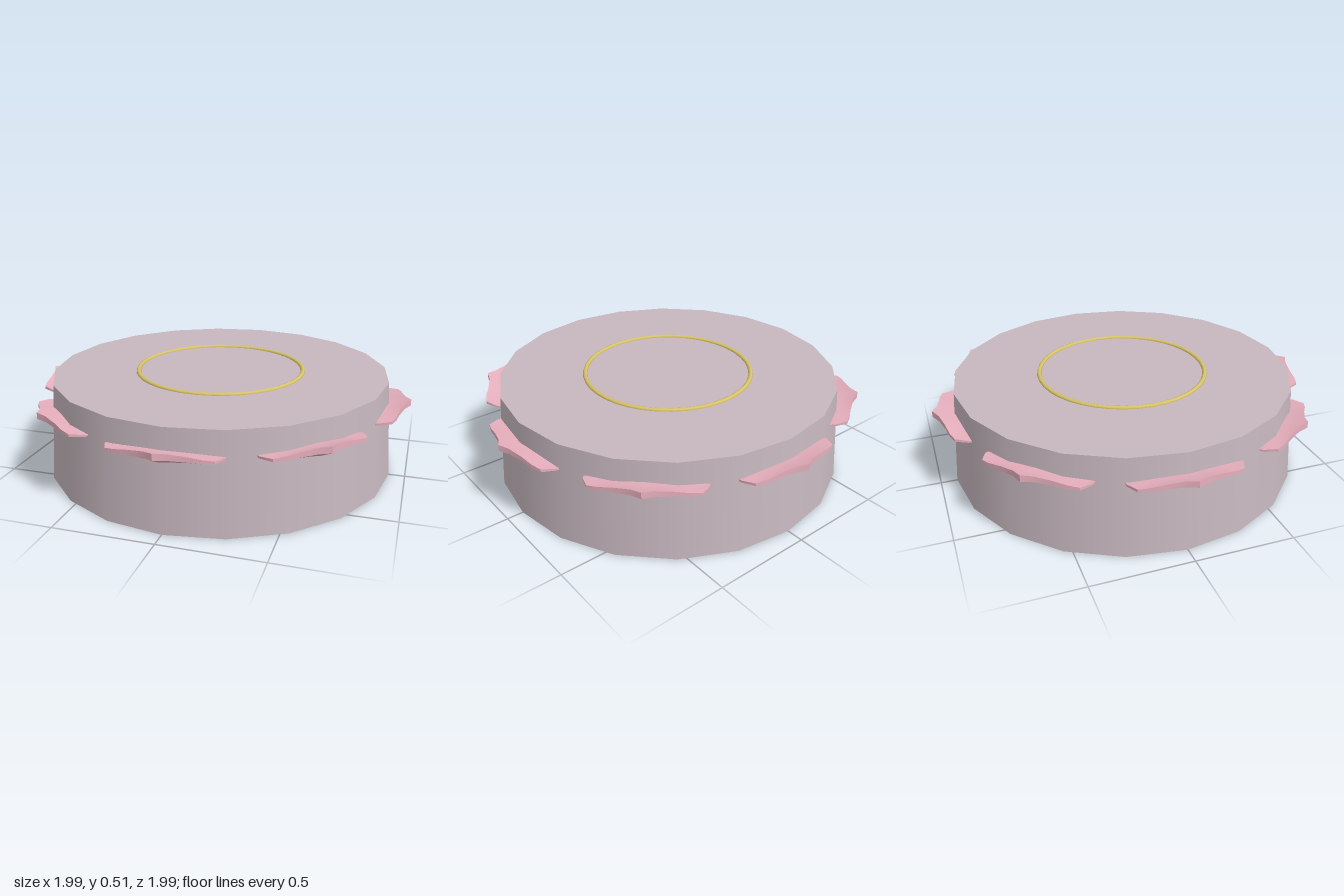
import * as THREE from 'three';
import { toCreasedNormals } from 'three/addons/utils/BufferGeometryUtils.js';

const mat = (name, color) => {
  const m = new THREE.MeshStandardMaterial({ color });
  m.name = name;
  return m;
};

// Curled petal: six-sided cross-sections lofted along x, pointing out to +z.
function petalGeometry() {
  // half stations: x, outer z, outer top y, outer bottom y, mid top y, mid bottom y
  const half = [
    [0, 0.995, 0.425, 0.392, 0.397, 0.35],
    [0.05, 0.968, 0.418, 0.388, 0.395, 0.351],
    [0.13, 0.948, 0.407, 0.382, 0.391, 0.354],
    [0.2, 0.937, 0.397, 0.378, 0.387, 0.361],
    [0.25, 0.92, 0.39, 0.376, 0.385, 0.369],
    [0.278, 0.86, 0.384, 0.374, 0.383, 0.373],
  ];
  const stations = [
    ...half.slice(1).reverse().map(([x, ...rest]) => [-x, ...rest]),
    ...half,
  ];
  const pos = [];
  const idx = [];
  for (const [x, zo, ot, ob, mt, mb] of stations) {
    const zi = 0.835;
    const zm = zi + (zo - zi) * 0.5;
    const loop = [[mt - 0.004, zi], [mt, zm], [ot, zo], [ob, zo], [mb, zm], [mb + 0.006, zi]];
    for (const [y, z] of loop) pos.push(x, y, z);
  }
  const n = 6;
  for (let s = 0; s < stations.length - 1; s++) {
    for (let k = 0; k < n; k++) {
      const a = s * n + k, b = s * n + (k + 1) % n;
      idx.push(a, b, a + n, b, b + n, a + n);
    }
  }
  // end caps
  const last = (stations.length - 1) * n;
  for (let k = 1; k < n - 1; k++) {
    idx.push(0, k + 1, k, last, last + k, last + k + 1);
  }
  const g = new THREE.BufferGeometry();
  g.setAttribute('position', new THREE.Float32BufferAttribute(pos, 3));
  g.setIndex(idx);
  return toCreasedNormals(g, 0.7);
}

export function createModel() {
  const group = new THREE.Group();
  const stone = mat('mauve stone', 0xc6b7be);
  const pink = mat('petal pink', 0xe8b0be);
  const gold = mat('pale gold', 0xd8c46a);
  pink.side = THREE.DoubleSide;

  // Tapered round base
  const base = new THREE.Mesh(new THREE.CylinderGeometry(0.88, 0.917, 0.5, 20), stone);
  base.name = 'base';
  base.position.y = 0.25;
  group.add(base);

  // Thin ring inlaid in the top
  const ring = new THREE.Mesh(new THREE.TorusGeometry(0.436, 0.012, 8, 40), gold);
  ring.name = 'topRing';
  ring.rotation.x = -Math.PI / 2;
  ring.position.y = 0.5;
  group.add(ring);

  // Eight petals around the rim
  const petals = new THREE.Group();
  petals.name = 'petals';
  const geo = petalGeometry();
  for (let i = 0; i < 8; i++) {
    const petal = new THREE.Mesh(geo, pink);
    petal.name = 'petal';
    petal.rotation.y = (i * Math.PI) / 4;
    petals.add(petal);
  }
  group.add(petals);
  return group;
}
